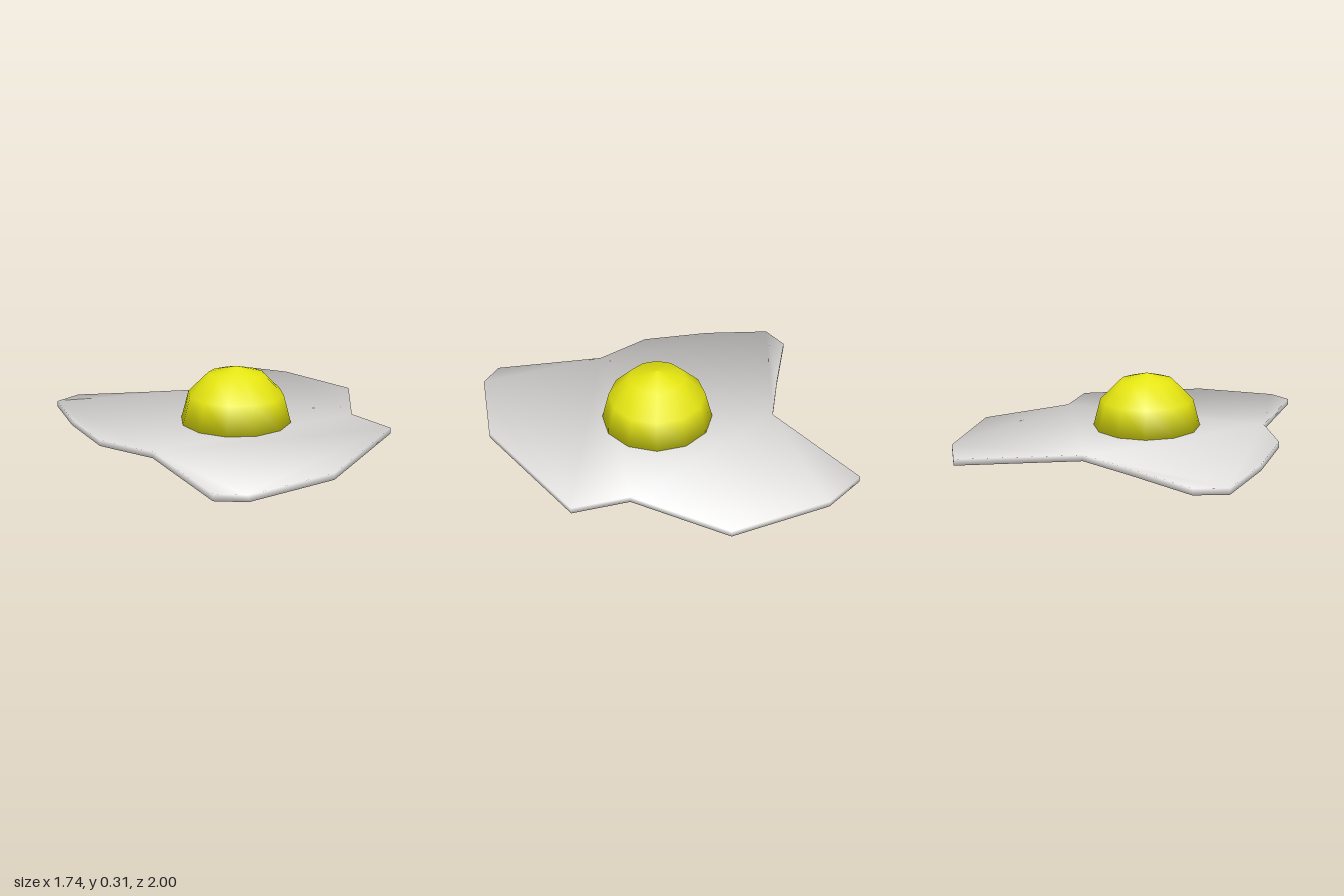
import * as THREE from 'three';

const THICK = 0.03;

// Irregular outline of the egg white as [x, z], back -> right -> front -> left
const OUTLINE = [
  [0.05, -1], [0.27, -0.94], [0.65, -0.64], [0.68, -0.15], [0.87, 0.04],
  [0.63, 0.69], [0.31, 0.985], [0.17, 1], [-0.18, 0.57], [-0.46, 0.455],
  [-0.69, 0.18], [-0.87, -0.11], [-0.8, -0.25], [-0.46, -0.36], [-0.18, -0.46],
].map(([x, z]) => new THREE.Vector2(x, z));

// Smooth rim normals: two walls and one cap, weighted by their corner angles
function rimNormals() {
  const n = OUTLINE.length;
  return OUTLINE.map((p, i) => {
    const a = p.clone().sub(OUTLINE[(i + n - 1) % n]).normalize();
    const b = OUTLINE[(i + 1) % n].clone().sub(p).normalize();
    const interior = Math.PI - Math.atan2(a.cross(b), a.dot(b));
    const w = Math.PI / 2;
    return new THREE.Vector3((a.y + b.y) * w, interior, -(a.x + b.x) * w).normalize();
  });
}

function eggWhiteGeometry() {
  const shape = new THREE.Shape(OUTLINE.map((p) => new THREE.Vector2(p.x, -p.y)));
  const geo = new THREE.ExtrudeGeometry(shape, { depth: THICK, bevelEnabled: false });
  geo.rotateX(-Math.PI / 2);
  const normals = rimNormals();
  const { position, normal } = geo.attributes;
  for (let i = 0; i < position.count; i++) {
    const x = position.getX(i), z = position.getZ(i);
    const k = OUTLINE.findIndex((p) => Math.hypot(p.x - x, p.y - z) < 0.001);
    const v = normals[k];
    normal.setXYZ(i, v.x, position.getY(i) > THICK / 2 ? v.y : -v.y, v.z);
  }
  return geo;
}

// Twelve-sided half ball with a closed, softly shaded base
function yolkGeometry(radius) {
  const profile = [new THREE.Vector2(0, 0), new THREE.Vector2(radius * 0.48, 0)];
  for (let i = 0; i <= 3; i++) {
    const t = (i * Math.PI) / 6;
    profile.push(new THREE.Vector2(i === 3 ? 0 : radius * Math.cos(t), radius * Math.sin(t)));
  }
  return new THREE.LatheGeometry(profile, 12);
}

export function createModel() {
  const white = new THREE.MeshStandardMaterial({ color: 0xe2e0de });
  white.name = 'eggWhite';
  const yellow = new THREE.MeshStandardMaterial({ color: 0xe4e410 });
  yellow.name = 'yolkYellow';

  const group = new THREE.Group();
  group.name = 'friedEgg';

  const eggWhite = new THREE.Mesh(eggWhiteGeometry(), white);
  eggWhite.name = 'eggWhite';

  const yolk = new THREE.Mesh(yolkGeometry(0.275), yellow);
  yolk.name = 'yolk';
  yolk.position.set(0.113, THICK, 0.04);

  group.add(eggWhite, yolk);
  return group;
}
